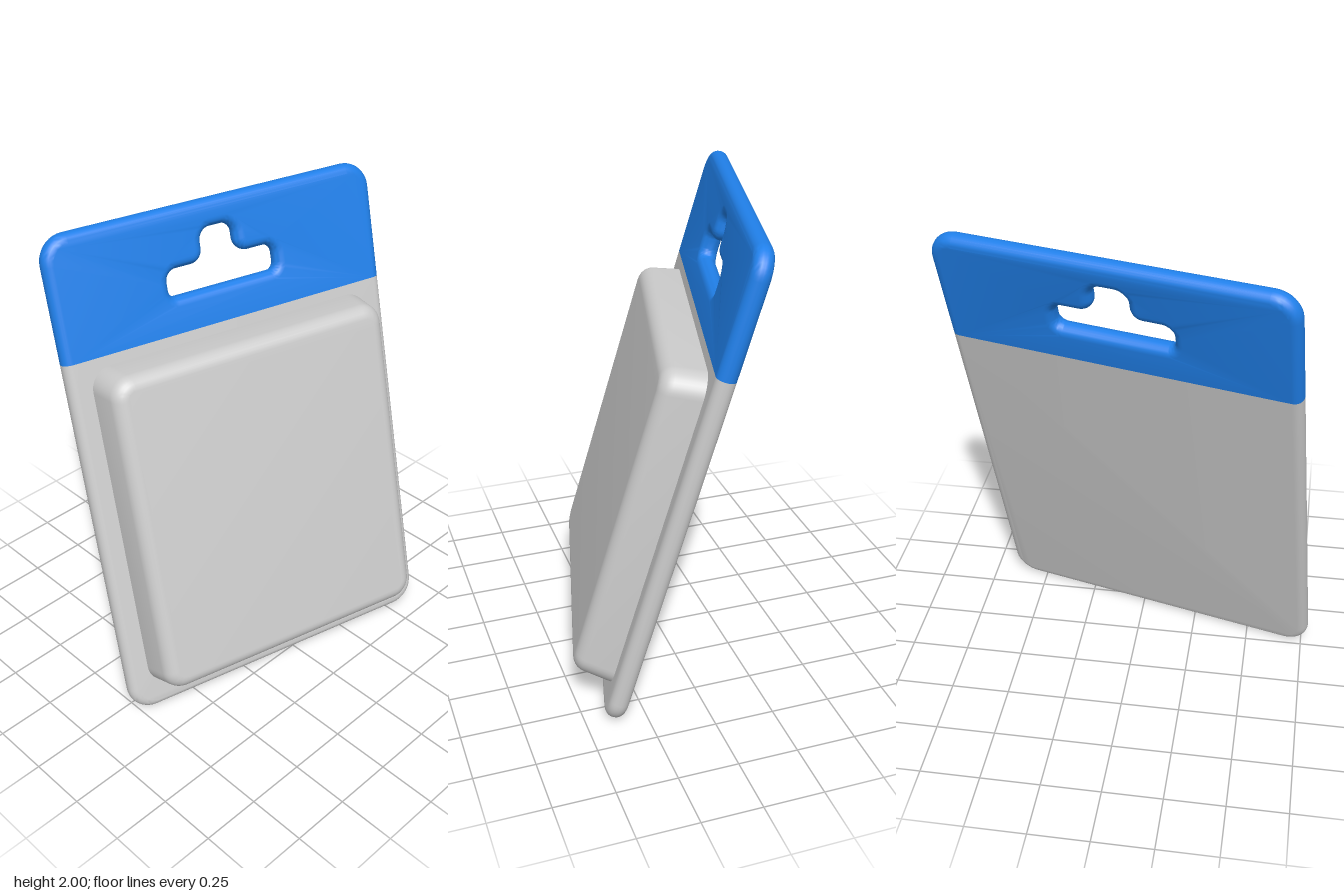
import * as THREE from 'three';
import { toCreasedNormals } from 'three/addons/utils/BufferGeometryUtils.js';

const W = 0.7365, H = 1.038;    // card half width and half height
const CUT = 0.54;               // height where the coloured header begins
const grey = new THREE.MeshStandardMaterial({ color: 0xcccccc });
const blue = new THREE.MeshStandardMaterial({ color: 0x2080ea });

// Closed path through corners [x, y, radius], each corner rounded
function roundedPath(path, corners) {
  const n = corners.length;
  corners.forEach(([x, y, r], i) => {
    const p = new THREE.Vector2(x, y);
    const toward = (c, d) => p.clone().add(new THREE.Vector2(c[0] - x, c[1] - y).setLength(d));
    const prev = corners[(i + n - 1) % n], next = corners[(i + 1) % n];
    const a = r ? toward(prev, r) : p, b = r ? toward(next, r) : p;
    if (i === 0) path.moveTo(a.x, a.y); else path.lineTo(a.x, a.y);
    if (r) {
      const c = toward(prev, r * 0.45), d = toward(next, r * 0.45);
      path.bezierCurveTo(c.x, c.y, d.x, d.y, b.x, b.y);
    }
  });
  path.closePath();
  return path;
}

const rectangle = (w, bottom, top, rBottom, rTop) => roundedPath(new THREE.Shape(), [
  [-w, bottom, rBottom], [w, bottom, rBottom], [w, top, rTop], [-w, top, rTop]]);

// Slab with rounded rims whose widest outline equals the shape
function slab(shape, back, front, r) {
  const geometry = new THREE.ExtrudeGeometry(shape, {
    depth: front - back - 2 * r, bevelThickness: r, bevelSize: r, bevelOffset: -r,
    bevelSegments: 6, curveSegments: 10 });
  return geometry.translate(0, 0, back + r);
}

// Move every vertex by a rule, then smooth the rims
function shaped(geometry, rule) {
  const pos = geometry.attributes.position, v = new THREE.Vector3();
  for (let i = 0; i < pos.count; i++) {
    rule(v.fromBufferAttribute(pos, i));
    pos.setXYZ(i, v.x, v.y, v.z);
  }
  return toCreasedNormals(geometry, 0.7);
}

export function createModel() {
  const model = new THREE.Group();
  model.name = 'blisterPack';
  const add = (name, geometry, material) => {
    const mesh = new THREE.Mesh(geometry, material);
    mesh.name = name;
    model.add(mesh);
  };

  // Lower card, trimmed flat where it meets the header
  const lower = rectangle(W, -H, CUT + 0.1, 0.11, 0);
  add('backingCard', shaped(slab(lower, -0.04, 0.04, 0.038),
    v => { v.y = Math.min(v.y, CUT); }), grey);

  // Coloured header with a hanging slot
  const header = rectangle(W, CUT - 0.1, H, 0, 0.11);
  header.holes.push(roundedPath(new THREE.Path(), [
    [-0.245, 0.685, 0.03], [-0.245, 0.795, 0.045], [-0.075, 0.795, 0.055], [-0.075, 0.925, 0.05],
    [0.075, 0.925, 0.05], [0.075, 0.795, 0.055], [0.245, 0.795, 0.045], [0.245, 0.685, 0.03]]));
  add('headerCard', shaped(slab(header, -0.04, 0.04, 0.038),
    v => { v.y = Math.max(v.y, CUT); }), blue);

  // Raised blister, sides drafted inward towards the front
  const midY = -0.214;
  const blister = slab(rectangle(0.642, -0.712, 0.712, 0.09, 0.09), -0.03, 0.207, 0.05);
  const tray = shaped(blister, v => {
    const draft = 0.024 * (v.z - 0.04) / 0.165;
    v.x *= 1 - draft / 0.642;
    v.y *= 1 - draft / 0.712;
  });
  add('blister', tray.translate(0, midY, 0), grey);

  // Leaning, turned pose
  model.rotation.set(-0.276, -0.248, 0, 'YXZ');
  model.position.set(0, 1, -0.05);
  const root = new THREE.Group();
  root.name = 'hangingPackage';
  root.add(model);
  return root;
}
